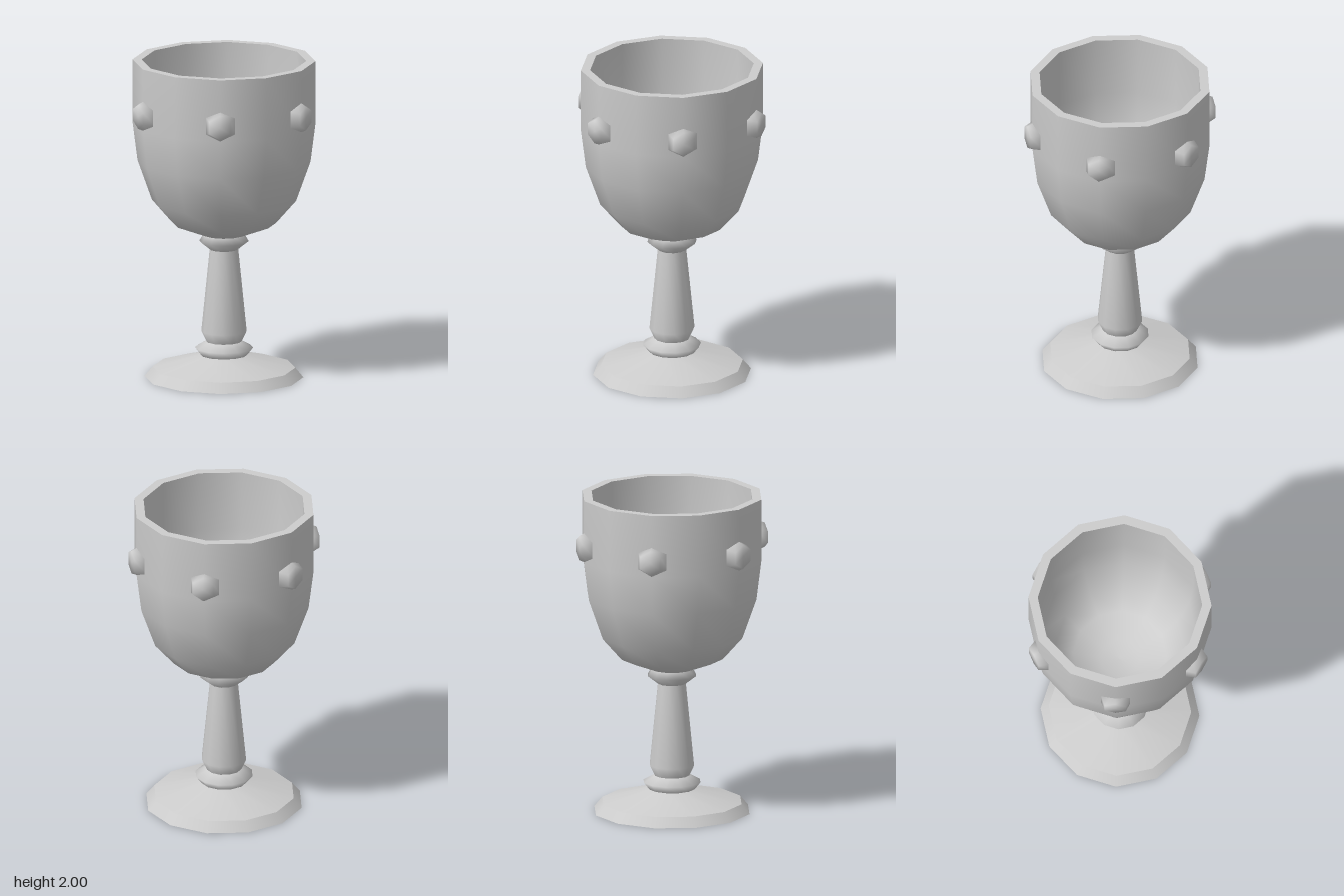
import * as THREE from 'three';
import { mergeVertices } from 'three/addons/utils/BufferGeometryUtils.js';

const SIDES = 12;

export function createModel() {
  const goblet = new THREE.Group();
  goblet.name = 'goblet';
  const metal = new THREE.MeshStandardMaterial({ color: 0xcccccc });
  metal.name = 'grey metal';

  // Twelve-sided turned part from [radius, height] pairs
  const turned = (name, profile) => {
    const points = profile.map(([r, y]) => new THREE.Vector2(r, y));
    const mesh = new THREE.Mesh(new THREE.LatheGeometry(points, SIDES), metal);
    mesh.name = name;
    goblet.add(mesh);
  };

  // Foot
  turned('footUnderside', [[0, 0], [0.49, 0]]);
  turned('footEdge', [[0.49, 0], [0.44, 0.06]]);
  turned('footTop', [[0.44, 0.06], [0.143, 0.14]]);

  // Stem with a collar at each end
  turned('lowerCollar', [[0.143, 0.138], [0.18, 0.185], [0.11, 0.225]]);
  turned('stem', [[0.108, 0.222], [0.14, 0.29], [0.088, 0.81]]);
  turned('upperCollar', [[0.083, 0.803], [0.153, 0.858], [0.125, 0.905]]);

  // Cup: outside, flat rim and inside
  turned('cupOutside', [[0, 0.9], [0.13, 0.9], [0.322, 0.975], [0.445, 1.115],
    [0.534, 1.365], [0.565, 1.61], [0.565, 2]]);
  turned('cupRim', [[0.565, 2], [0.508, 2]]);
  turned('cupInside', [[0.508, 2], [0.508, 1.62], [0.48, 1.38], [0.4, 1.15],
    [0.29, 1.03], [0.12, 0.965], [0, 0.96]]);

  // Six hexagonal studs with softened shading around the cup
  let studShape = new THREE.CylinderGeometry(0.076, 0.112, 0.076, 6);
  studShape.deleteAttribute('uv');
  studShape.deleteAttribute('normal');
  studShape = mergeVertices(studShape);
  studShape.computeVertexNormals();
  studShape.rotateX(Math.PI / 2);
  studShape.translate(0, 1.705, 0.56);

  const studs = new THREE.Group();
  studs.name = 'studs';
  for (let i = 0; i < 6; i++) {
    const stud = new THREE.Mesh(studShape, metal);
    stud.name = 'stud';
    stud.rotation.y = i * Math.PI / 3;
    studs.add(stud);
  }
  goblet.add(studs);

  return goblet;
}
